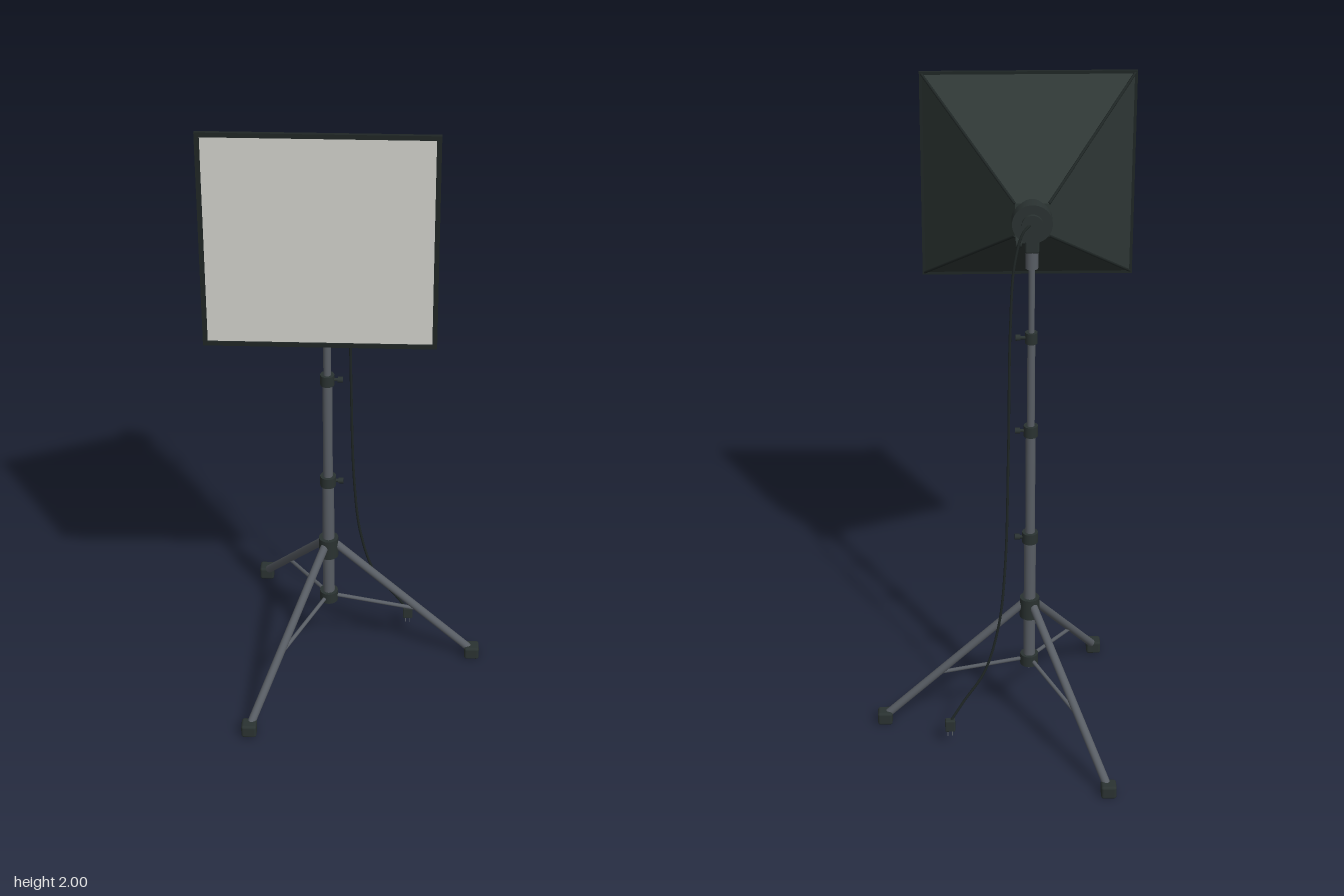
import * as THREE from 'three';
import { RoundedBoxGeometry } from 'three/addons/geometries/RoundedBoxGeometry.js';

const mat = (name, color, side = THREE.FrontSide) => {
  const m = new THREE.MeshStandardMaterial({ color, side });
  m.name = name;
  return m;
};

export function createModel() {
  const metal = mat('grey metal', 0x585d64);
  const plastic = mat('dark plastic', 0x2a3231);
  const fabric = mat('dark fabric', 0x2e3735, THREE.DoubleSide);
  const trim = mat('black trim', 0x1f2625);
  const white = mat('diffuser white', 0xd0d0ca, THREE.DoubleSide);

  const model = new THREE.Group();
  model.name = 'softboxLight';
  const stand = new THREE.Group();
  stand.name = 'stand';
  stand.position.x = -0.08;
  model.add(stand);

  const add = (parent, name, geo, material, x = 0, y = 0, z = 0) => {
    const m = new THREE.Mesh(geo, material);
    m.name = name;
    m.position.set(x, y, z);
    parent.add(m);
    return m;
  };
  const V = (x, y, z) => new THREE.Vector3(x, y, z);
  // Cylinder between two points
  const rod = (parent, name, a, b, r, material, sides = 20) => {
    const d = b.clone().sub(a);
    const m = add(parent, name, new THREE.CylinderGeometry(r, r, d.length(), sides), material);
    m.position.copy(a).addScaledVector(d, 0.5);
    m.quaternion.setFromUnitVectors(V(0, 1, 0), d.normalize());
    return m;
  };

  // Telescoping pole
  [[0.21, 0.67, 0.018], [0.67, 1.03, 0.0145], [1.03, 1.33, 0.0115], [1.33, 1.6, 0.009]]
    .forEach(([y0, y1, r]) => rod(stand, 'poleSection', V(0, y0, 0), V(0, y1, 0), r, metal));

  // Locking collars with side knobs
  [[0.67, 0.024], [1.03, 0.021], [1.33, 0.018]].forEach(([y, r]) => {
    rod(stand, 'collar', V(0, y - 0.017, 0), V(0, y + 0.017, 0), r, plastic);
    rod(stand, 'collarScrew', V(0, y, 0), V(0.036, y, 0), 0.005, plastic, 12);
    rod(stand, 'collarKnob', V(0.031, y, 0), V(0.046, y, 0), 0.009, plastic, 12);
  });

  // Leg hubs
  rod(stand, 'upperHub', V(0, 0.39, 0), V(0, 0.457, 0), 0.03, plastic);
  rod(stand, 'lowerHub', V(0, 0.217, 0), V(0, 0.253, 0), 0.028, plastic);

  // Tripod legs, braces and feet
  for (let i = 0; i < 3; i++) {
    const a = (i * Math.PI * 2) / 3, c = Math.cos(a), s = Math.sin(a);
    const at = (r, y) => V(r * c, y, r * s);
    rod(stand, 'leg', at(0.02, 0.435), at(0.45, 0.025), 0.0125, metal);
    rod(stand, 'brace', at(0.015, 0.235), at(0.28, 0.184), 0.006, metal, 12);
    const foot = at(0.452, 0.022);
    add(stand, 'foot', new RoundedBoxGeometry(0.046, 0.043, 0.046, 3, 0.008), plastic, foot.x, foot.y, foot.z);
  }

  // Head: socket, bracket, tilt knob and lamp housing
  rod(stand, 'socket', V(0, 1.545, 0), V(0, 1.605, 0), 0.018, metal);
  add(stand, 'bracket', new RoundedBoxGeometry(0.04, 0.06, 0.038, 2, 0.006), plastic, 0, 1.625, 0);
  rod(stand, 'tiltBolt', V(-0.02, 1.625, 0), V(0.035, 1.625, 0), 0.007, plastic, 12);
  rod(stand, 'tiltKnob', V(0.028, 1.625, 0), V(0.046, 1.625, 0), 0.017, plastic);
  const cy = 1.685;
  rod(stand, 'lampHousing', V(0, cy, -0.022), V(0, cy, 0.035), 0.057, plastic, 40);
  rod(stand, 'housingCap', V(0, cy, -0.032), V(0, cy, -0.02), 0.03, plastic, 28);

  // Softbox: four fabric panels, open toward the front
  const zb = 0.015, zf = 0.374, hb = 0.048, hf = 0.31;
  const box = new THREE.Group();
  box.name = 'softbox';
  box.position.y = cy;
  stand.add(box);
  const shell = new THREE.CylinderGeometry(hf * Math.SQRT2, hb * Math.SQRT2, zf - zb, 4, 1, true)
    .rotateY(Math.PI / 4).rotateX(Math.PI / 2).toNonIndexed();
  shell.computeVertexNormals();
  add(box, 'fabricShell', shell, fabric, 0, 0, (zb + zf) / 2);
  add(box, 'backPanel', new THREE.PlaneGeometry(hb * 2, hb * 2), fabric, 0, 0, zb);

  // Corner seams and front rim
  for (const [x, y] of [[1, 1], [-1, 1], [-1, -1], [1, -1]]) {
    rod(box, 'cornerSeam', V(x * hb, y * hb, zb), V(x * hf, y * hf, zf), 0.004, trim, 8);
  }
  const square = (P, h) => new P([[-h, -h], [h, -h], [h, h], [-h, h]].map(([x, y]) => new THREE.Vector2(x, y)));
  const rim = square(THREE.Shape, 0.315);
  rim.holes.push(square(THREE.Path, 0.302));
  add(box, 'frontRim', new THREE.ExtrudeGeometry(rim, { depth: 0.01, bevelEnabled: false }), trim, 0, 0, 0.369);
  add(box, 'diffuser', new THREE.PlaneGeometry(0.61, 0.61), white, 0, 0, 0.375);

  // Power cable and plug
  const path = new THREE.CatmullRomCurve3([
    V(-0.08, 1.69, -0.025), V(-0.055, 1.67, -0.04), V(-0.03, 1.58, -0.053), V(-0.018, 1.38, -0.06),
    V(-0.013, 1.0, -0.065), V(-0.004, 0.62, -0.075), V(0.016, 0.41, -0.086),
    V(0.06, 0.25, -0.098), V(0.125, 0.15, -0.112), V(0.166, 0.085, -0.123),
  ]);
  add(model, 'cable', new THREE.TubeGeometry(path, 100, 0.004, 8), trim);
  add(model, 'plug', new RoundedBoxGeometry(0.031, 0.04, 0.022, 2, 0.004), plastic, 0.167, 0.072, -0.124);
  for (const dx of [-0.007, 0.007]) {
    add(model, 'plugProng', new THREE.BoxGeometry(0.003, 0.022, 0.006), metal, 0.167 + dx, 0.044, -0.124);
  }
  return model;
}
